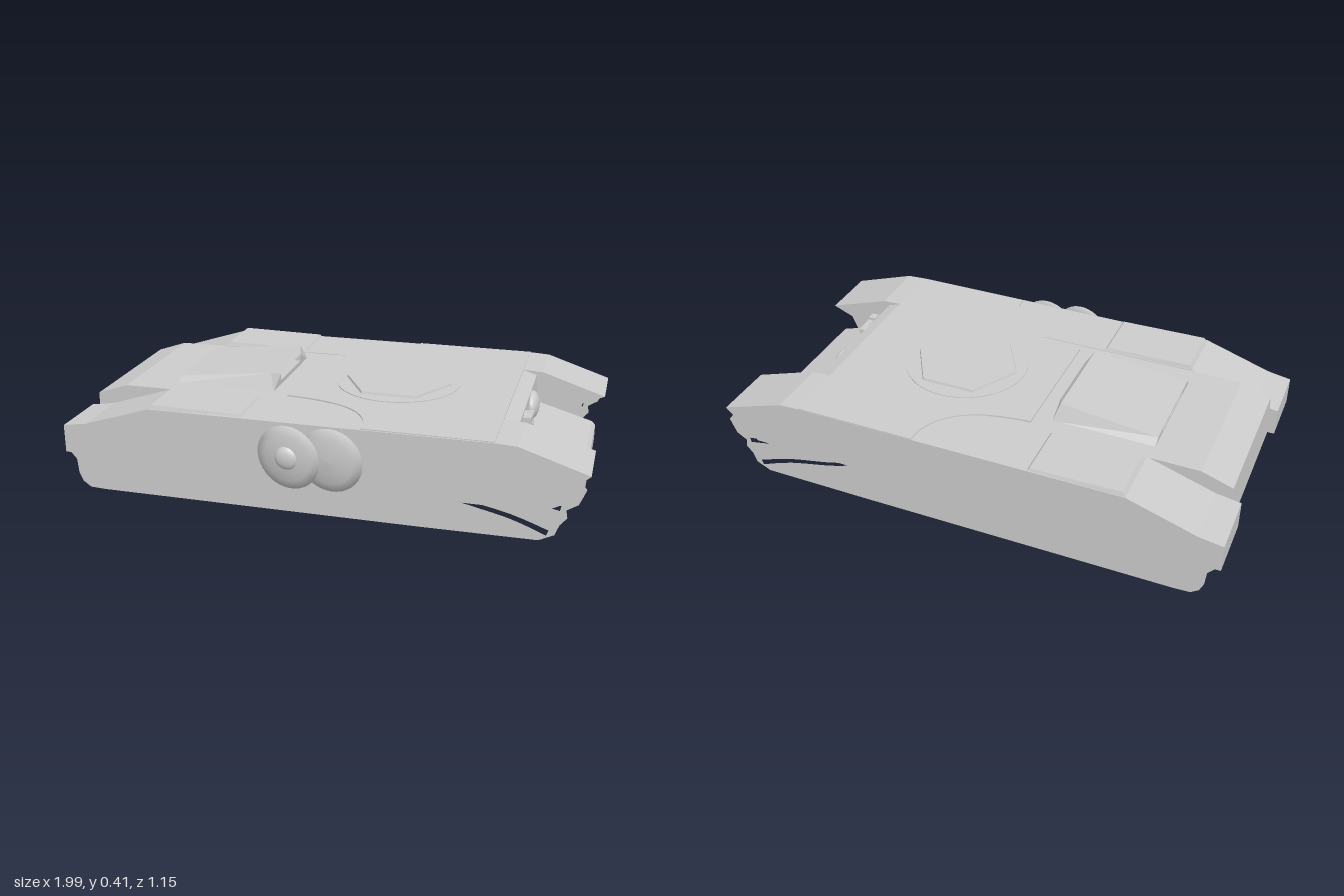
import * as THREE from 'three';

const MID = -0.03; // centre line of the hull in z

export function createModel() {
  const root = new THREE.Group();
  const flat = new THREE.MeshStandardMaterial({ color: 0xcccccc, flatShading: true, side: THREE.DoubleSide });
  const smooth = new THREE.MeshStandardMaterial({ color: 0xcccccc, side: THREE.DoubleSide });

  const add = (name, geometry, material = flat, parent = root) => {
    const mesh = new THREE.Mesh(geometry, material);
    mesh.name = name;
    parent.add(mesh);
    return mesh;
  };
  const outline = (pts) => new THREE.Shape(pts.map(([x, y]) => new THREE.Vector2(x, y)));
  const solid = (shape, depth) => new THREE.ExtrudeGeometry(shape, { depth, bevelEnabled: false, curveSegments: 24 });
  // side profile extruded between two z positions
  const slab = (name, pts, z0, z1) => add(name, solid(outline(pts), z1 - z0).translate(0, 0, z0));

  // central hull with sloped nose and recessed front deck
  slab('hull', [
    [-0.9, 0], [0.82, 0], [0.965, 0.075], [0.965, 0.14], [0.95, 0.155], [0.725, 0.22],
    [0.715, 0.333], [0.66, 0.35], [-0.84, 0.346], [-0.96, 0.305], [-0.97, 0.15], [-0.95, 0.06],
  ], -0.32, 0.27);

  // side sponsons ending in front prongs
  const sponson = [
    [-0.995, 0.14], [0.87, 0.14], [0.91, 0.23], [0.995, 0.265], [0.74, 0.348],
    [0.66, 0.352], [-0.64, 0.349], [-0.9, 0.265], [-0.995, 0.25],
  ];
  slab('leftSponson', sponson, 0.27, 0.508);
  slab('rightSponson', sponson, -0.563, -0.32);

  // thin side skirts with curved slots
  const slot = (pts, w0, w1) => {
    const curve = new THREE.SplineCurve(pts.map(([x, y]) => new THREE.Vector2(x, y)));
    const a = [], b = [];
    for (let i = 0; i <= 16; i++) {
      const t = i / 16, p = curve.getPoint(t), d = curve.getTangent(t);
      const n = new THREE.Vector2(-d.y, d.x).multiplyScalar((w0 + (w1 - w0) * t) / 2);
      a.push(p.clone().add(n));
      b.unshift(p.clone().sub(n));
    }
    return new THREE.Path([...a, ...b]);
  };
  const skirt = outline([
    [-0.9, 0.003], [-0.84, 0], [0.4, 0], [0.83, 0.003], [0.885, 0.03], [0.9, 0.07], [0.925, 0.1],
    [0.92, 0.13], [0.96, 0.155], [0.975, 0.19], [0.985, 0.215], [0.965, 0.24], [0.995, 0.265],
    [0.74, 0.348], [0.66, 0.352], [-0.64, 0.349], [-0.9, 0.265], [-0.98, 0.25], [-0.98, 0.15],
    [-0.95, 0.115], [-0.945, 0.06], [-0.93, 0.025],
  ]);
  skirt.holes.push(
    slot([[0.26, 0.33], [0.34, 0.22], [0.49, 0.14], [0.72, 0.085], [0.86, 0.035]], 0.006, 0.022),
    slot([[0.47, 0.33], [0.57, 0.24], [0.76, 0.165], [0.9, 0.135]], 0.008, 0.02),
  );
  [['leftSkirt', 0.51], ['rightSkirt', -0.566]].forEach(([name, z]) =>
    add(name, new THREE.ShapeGeometry(skirt).translate(0, 0, z)));

  // raised front deck plate with rounded rear corners
  const deck = new THREE.Shape();
  deck.moveTo(-0.18, -0.265);
  deck.quadraticCurveTo(0.14, -0.28, 0.18, -0.49);
  deck.lineTo(0.18, -0.532);
  deck.lineTo(0.66, -0.532);
  deck.lineTo(0.66, 0.532);
  deck.lineTo(0.18, 0.532);
  deck.lineTo(0.18, 0.49);
  deck.quadraticCurveTo(0.14, 0.28, -0.18, 0.265);
  add('deckPlate', solid(deck, 0.006).rotateX(-Math.PI / 2).translate(0, 0.349, MID));

  // turret ring and hexagonal cover
  add('turretRing', new THREE.CylinderGeometry(0.245, 0.245, 0.01, 48).translate(0.2, 0.353, MID));
  add('hexCover', new THREE.CylinderGeometry(0.21, 0.215, 0.014, 6)
    .rotateY(Math.PI / 6 + Math.PI / 3).translate(0.2, 0.36, MID));

  // engine hood: trapezoid tunnel whose height grows toward its open front
  const hoodShape = outline([[-0.22, 0], [0.22, 0], [0.19, 0.065], [-0.19, 0.065]]);
  hoodShape.holes.push(new THREE.Path([[-0.13, 0.018], [0.13, 0.018], [0.13, 0.045], [-0.13, 0.045]]
    .map(([x, y]) => new THREE.Vector2(x, y))));
  const hood = solid(hoodShape, 0.4).rotateY(Math.PI / 2);
  const hp = hood.attributes.position;
  for (let i = 0; i < hp.count; i++) {
    const x = hp.getX(i), y = hp.getY(i);
    hp.setY(i, y * (0.35 + 0.65 * x / 0.4));
    if (x > 0.2 && y > 0.06) hp.setX(i, x - 0.02);
  }
  hood.computeVertexNormals();
  add('engineHood', hood.translate(-0.65, 0.346, MID));
  add('hoodBaffle', new THREE.BoxGeometry(0.02, 0.035, 0.28).translate(-0.42, 0.362, MID));

  // bevelled hatch panels on both sponsons
  [['leftHatch', 0.272, 0.505], ['rightHatch', -0.563, -0.325]].forEach(([name, z0, z1]) => {
    const g = new THREE.BoxGeometry(0.38, 0.02, z1 - z0);
    const p = g.attributes.position;
    for (let i = 0; i < p.count; i++) {
      if (p.getY(i) > 0) {
        p.setX(i, p.getX(i) * 0.91);
        p.setZ(i, p.getZ(i) * 0.93);
        if (p.getX(i) < 0) p.setY(i, 0.015);
      }
    }
    g.computeVertexNormals();
    add(name, g.translate(-0.455, 0.35, (z0 + z1) / 2));
  });

  // overlapping side dishes, tilted outward
  const dishProfile = [[0, 0.022], [0.05, 0.019], [0.09, 0.011], [0.125, 0], [0.09, -0.006], [0, -0.008]]
    .map(([r, y]) => new THREE.Vector2(r, y)).reverse();
  const dishes = new THREE.Group();
  dishes.name = 'sideDishes';
  root.add(dishes);
  [['rearDish', -0.08, 0.54, -0.16], ['frontDish', 0.075, 0.528, -0.1]].forEach(([name, x, z, tilt]) => {
    const dish = add(name, new THREE.LatheGeometry(dishProfile, 36).rotateX(Math.PI / 2), smooth, dishes);
    dish.position.set(x, 0.23, z);
    dish.rotation.set(0.06, tilt, 0);
  });
  const knob = add('dishKnob', new THREE.SphereGeometry(0.045, 24, 16), smooth, dishes);
  knob.scale.z = 0.5;
  knob.position.set(-0.08, 0.235, 0.557);

  // lamp and clamp on the recessed front wall
  const lamp = add('frontLamp', new THREE.SphereGeometry(0.07, 28, 18), smooth);
  lamp.scale.set(0.45, 0.8, 1);
  lamp.position.set(0.72, 0.276, -0.118);
  add('clampBase', new THREE.CylinderGeometry(0.052, 0.052, 0.012, 28)
    .rotateZ(Math.PI / 2).translate(0.722, 0.276, 0.095));
  const clamp = new THREE.Group();
  clamp.name = 'frontClamp';
  root.add(clamp);
  add('clampPalm', new THREE.BoxGeometry(0.03, 0.115, 0.035).translate(0.734, 0.275, 0.165), flat, clamp);
  [0.312, 0.276, 0.238].forEach((y) =>
    add('clampFinger', new THREE.BoxGeometry(0.022, 0.02, 0.09).translate(0.738, y, 0.11), flat, clamp));

  return root;
}
